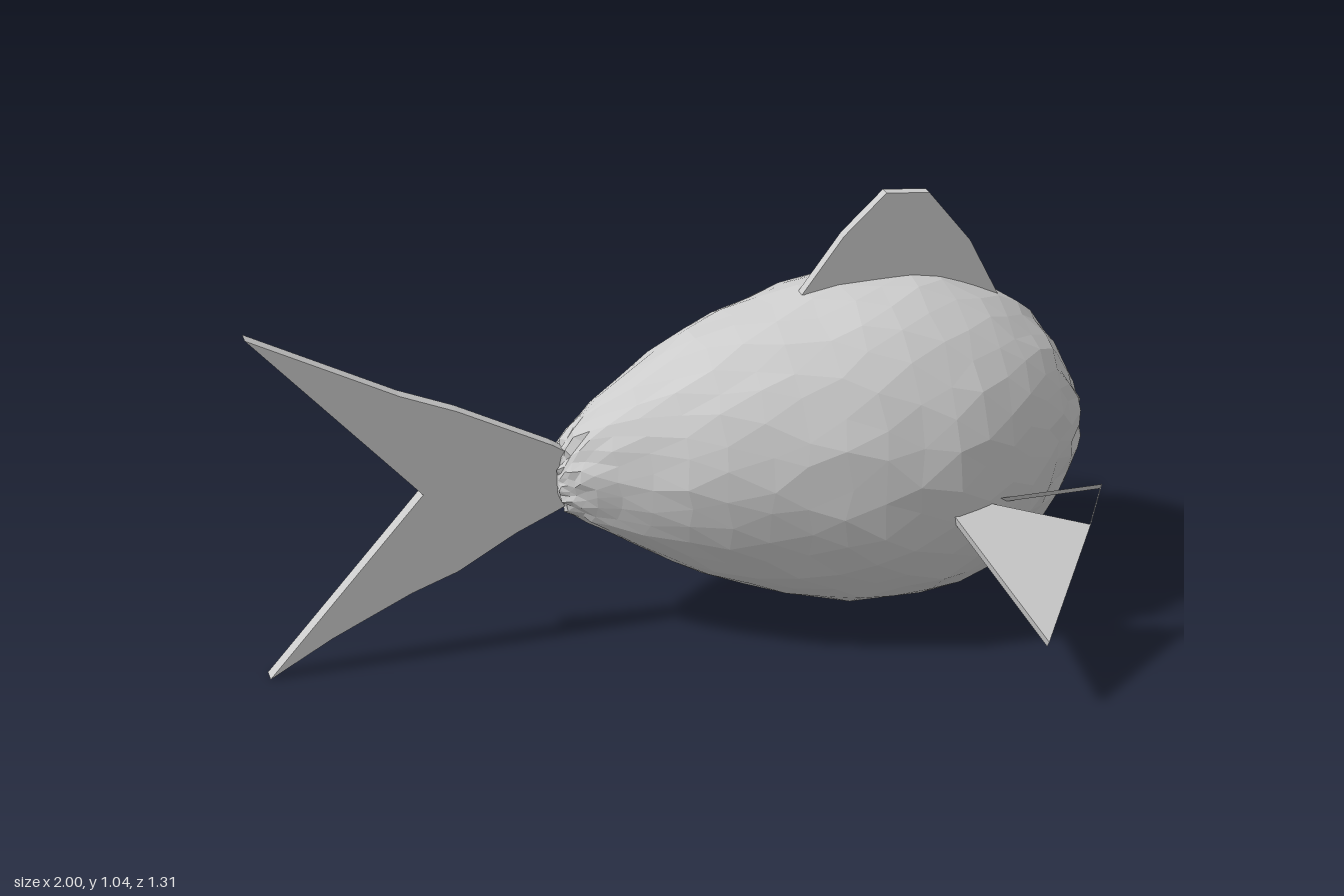
import * as THREE from 'three';

const material = new THREE.MeshStandardMaterial({ color: 0xcccccc, flatShading: true });
const openMaterial = new THREE.MeshStandardMaterial({ color: 0xcccccc, flatShading: true, side: THREE.DoubleSide });

function add(parent, name, geometry, mat = material) {
  const mesh = new THREE.Mesh(geometry, mat);
  mesh.name = name;
  parent.add(mesh);
  return mesh;
}

// flat plate from an outline, centred on its own plane
function plate(points, thickness) {
  const shape = new THREE.Shape(points.map(([x, y]) => new THREE.Vector2(x, y)));
  const geometry = new THREE.ExtrudeGeometry(shape, { depth: thickness, bevelEnabled: false });
  return geometry.translate(0, 0, -thickness / 2);
}

// egg-shaped body lofted through oval sections, slightly faceted and uneven
function bodyGeometry() {
  // x, top, bottom, half width
  const sections = [
    [-0.30, 0.42, 0.40, 0.01], [-0.295, 0.47, 0.355, 0.05], [-0.26, 0.53, 0.32, 0.085],
    [-0.18, 0.60, 0.27, 0.14], [0, 0.71, 0.16, 0.25], [0.2, 0.785, 0.08, 0.325],
    [0.4, 0.83, 0.03, 0.365], [0.6, 0.825, 0.03, 0.36], [0.76, 0.765, 0.09, 0.3],
    [0.88, 0.67, 0.20, 0.215], [0.96, 0.54, 0.32, 0.11], [1, 0.43, 0.415, 0.008],
  ];
  const curve = (side) => new THREE.CatmullRomCurve3(
    sections.map((s) => new THREE.Vector3(s[0], s[side], s[3])), false, 'catmullrom');
  const upper = curve(1), lower = curve(2);
  const rings = 26, sides = 28;
  let seed = 7;
  const random = () => (seed = (seed * 16807) % 2147483647) / 2147483647 - 0.5;

  const positions = [], index = [];
  for (let i = 0; i <= rings; i++) {
    const a = upper.getPoint(i / rings), b = lower.getPoint(i / rings);
    const middle = (a.y + b.y) / 2, height = (a.y - b.y) / 2;
    const inner = i > 1 && i < rings - 1 ? 1 : 0;
    for (let j = 0; j < sides; j++) {
      const angle = ((j + (i % 2) / 2 + random() * 0.35 * inner) / sides) * Math.PI * 2;
      const r = 1 + random() * 0.024 * inner;
      positions.push(a.x + random() * 0.02 * inner,
        middle + Math.cos(angle) * height * r, Math.sin(angle) * a.z * r);
    }
  }
  // alternate rings are turned half a step, so the diagonals alternate too
  for (let i = 0; i < rings; i++) {
    for (let j = 0; j < sides; j++) {
      const k = (j + 1) % sides;
      const p = i * sides + j, q = i * sides + k;
      const r = (i + 1) * sides + j, s = (i + 1) * sides + k;
      if (i % 2) index.push(p, s, r, p, q, s);
      else index.push(p, q, r, q, s, r);
    }
  }
  const geometry = new THREE.BufferGeometry();
  geometry.setAttribute('position', new THREE.Float32BufferAttribute(positions, 3));
  geometry.setIndex(index);
  geometry.computeVertexNormals();
  return geometry;
}

// open strip of rim following a path of points
function rimGeometry(points, thickness) {
  const positions = [], index = [];
  points.forEach(([x, y], i) => {
    positions.push(x, y, -thickness / 2, x, y, thickness / 2);
    if (i) index.push(2 * i - 2, 2 * i, 2 * i - 1, 2 * i - 1, 2 * i, 2 * i + 1);
  });
  const geometry = new THREE.BufferGeometry();
  geometry.setAttribute('position', new THREE.Float32BufferAttribute(positions, 3));
  geometry.setIndex(index);
  geometry.computeVertexNormals();
  return geometry;
}

export function createModel() {
  const model = new THREE.Group();
  model.name = 'fish';
  add(model, 'body', bodyGeometry());

  // forked tail
  add(model, 'tailFin', plate([
    [-0.28, 0.49], [-0.31, 0.51], [-0.53, 0.625], [-0.66, 0.68], [-1, 0.86], [-0.615, 0.425],
    [-0.99, 0], [-0.84, 0.085], [-0.65, 0.175], [-0.54, 0.215], [-0.40, 0.295], [-0.30, 0.34], [-0.28, 0.35],
  ], 0.036));

  // fin on the back
  add(model, 'dorsalFin', plate([
    [0.29, 0.81], [0.39, 0.945], [0.49, 1.04], [0.595, 1.03],
    [0.70, 0.90], [0.775, 0.755], [0.5, 0.77],
  ], 0.026));

  // sloping side fins, each with an open rim along its forward edge
  for (const side of [1, -1]) {
    const fin = new THREE.Group();
    fin.name = side > 0 ? 'frontSideFin' : 'backSideFin';
    add(fin, 'finBlade', plate([[0.54, 0], [0.675, 0.38], [0.865, 0.10], [0.62, 0]], 0.02));
    add(fin, 'finRim', rimGeometry([[0.865, 0.10], [0.925, 0], [0.62, 0]], 0.02), openMaterial);
    const along = new THREE.Vector3(1, 0, 0);
    const outward = new THREE.Vector3(0, -0.55, 0.84 * side).normalize();
    const normal = along.clone().cross(outward);
    fin.setRotationFromMatrix(new THREE.Matrix4().makeBasis(along, outward, normal));
    fin.position.set(0, 0.38, 0.33 * side);
    model.add(fin);
  }
  return model;
}
